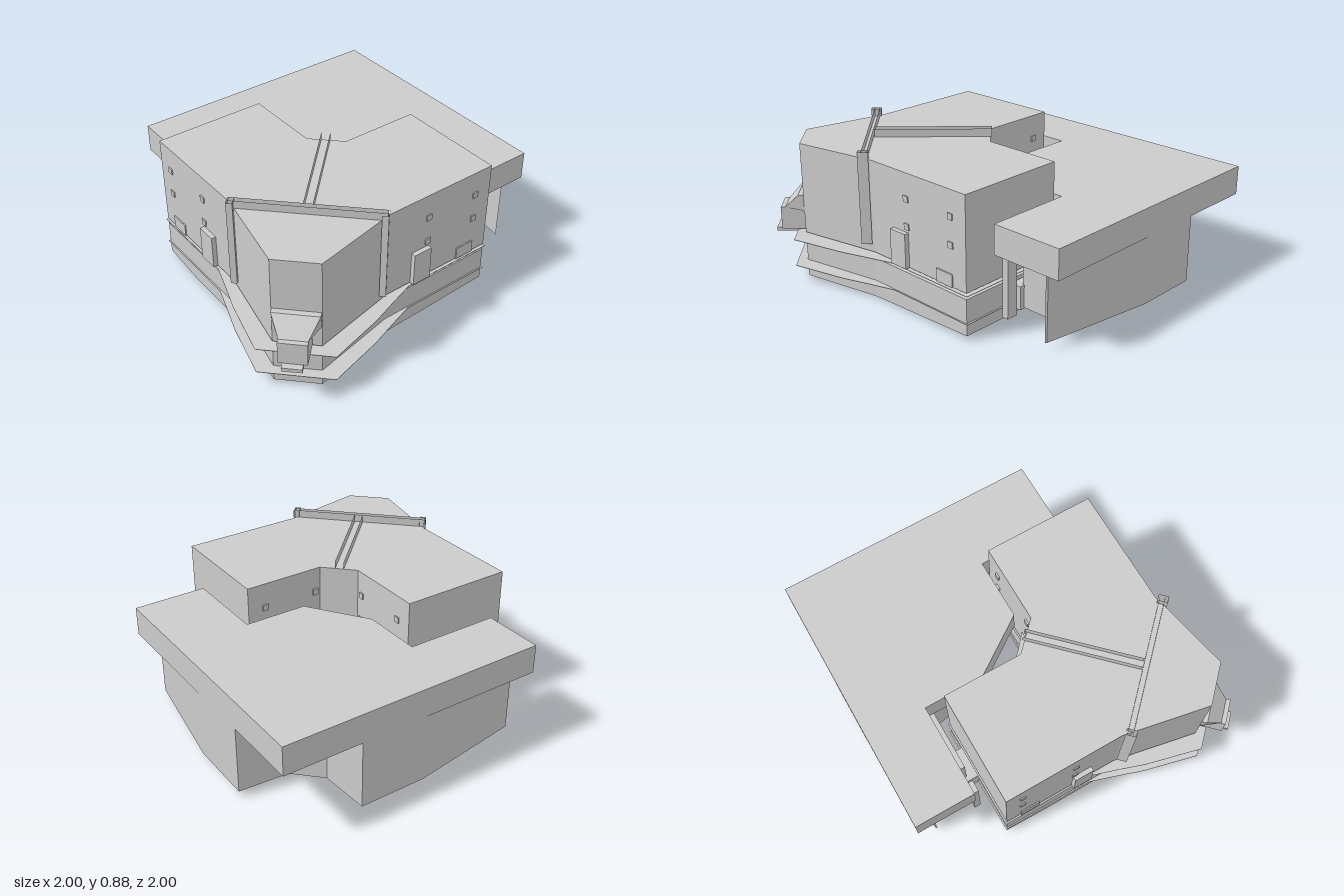
import * as THREE from 'three';
import { ConvexGeometry } from 'three/addons/geometries/ConvexGeometry.js';

const grey = new THREE.MeshStandardMaterial({ color: 0xcccccc, flatShading: true, side: THREE.DoubleSide });
const swap = ([x, z]) => [z, x];
const toVec = (pts) => pts.map(([x, z]) => new THREE.Vector2(x, z));

export function createModel() {
  const root = new THREE.Group();

  function add(name, geometry) {
    const mesh = new THREE.Mesh(geometry, grey);
    mesh.name = name;
    root.add(mesh);
    return mesh;
  }

  // Upright prism from a plan outline given as [x, z] points
  function prism(name, pts, y0, y1, holes = []) {
    const shape = new THREE.Shape(toVec(pts));
    holes.forEach((h) => shape.holes.push(new THREE.Path(toVec(h))));
    const g = new THREE.ExtrudeGeometry(shape, { depth: y1 - y0, bevelEnabled: false });
    g.rotateX(Math.PI / 2).translate(0, y1, 0);
    return add(name, g);
  }

  function box(name, x0, x1, y0, y1, z0, z1) {
    const g = new THREE.BoxGeometry(x1 - x0, y1 - y0, z1 - z0);
    return add(name, g.translate((x0 + x1) / 2, (y0 + y1) / 2, (z0 + z1) / 2));
  }

  // A box and its twin across the diagonal x = z
  function twin(name, x0, x1, y0, y1, z0, z1) {
    box(name, x0, x1, y0, y1, z0, z1);
    box(name, z0, z1, y0, y1, x0, x1);
  }

  // Upright sheet between two plan points
  function sheet(name, [xa, za], [xb, zb], y0, y1) {
    const m = add(name, new THREE.PlaneGeometry(Math.hypot(xb - xa, zb - za), y1 - y0));
    m.position.set((xa + xb) / 2, (y0 + y1) / 2, (za + zb) / 2);
    m.rotation.y = -Math.atan2(zb - za, xb - xa);
  }

  // Rectangle in plan, turned to the diagonal
  const diagRect = (cx, cz, a, b) => [[-a, -b], [a, -b], [a, b], [-a, b]]
    .map(([d, t]) => [cx + (d + t) * Math.SQRT1_2, cz + (d - t) * Math.SQRT1_2]);
  const square = (cx, cz, r) => [[cx - r, cz - r], [cx + r, cz - r], [cx + r, cz + r], [cx - r, cz + r]];

  // Main L-shaped block with a chamfered outer corner
  const plan = [
    [-0.525, 0.115], [-0.25, 0.115], [-0.04, 0.115], [0.12, -0.045], [0.12, -0.53], [0.795, -0.53],
    [0.795, 0.2], [0.897, 0.712], [0.712, 0.897], [0.2, 0.795], [-0.25, 0.795], [-0.525, 0.795],
  ];
  prism('upperBody', plan, 0.28, 0.828);
  prism('waist', [[-0.46, 0.2], [0.2, 0.2], [0.2, -0.46], [0.62, -0.46], [0.62, 0.62], [-0.46, 0.62]], 0.24, 0.285);
  prism('lowerBody', plan, 0.06, 0.244);

  // Underside plate with recesses, rising towards the wing ends
  const base = prism('underside', plan, 0, 0.06,
    [diagRect(0.29, 0.27, 0.19, 0.16), square(0.46, -0.3, 0.1), square(-0.3, 0.46, 0.1)]);
  const p = base.geometry.attributes.position;
  for (let i = 0; i < p.count; i++) {
    if (p.getY(i) > 0.01) continue;
    const a = THREE.MathUtils.clamp((-0.25 - p.getX(i)) / 0.28, 0, 1);
    const b = THREE.MathUtils.clamp((0.2 - p.getZ(i)) / 0.74, 0, 1) * (p.getX(i) > 0.1 ? 1 : 0);
    p.setY(i, 0.03 * Math.max(a, b));
  }
  base.geometry.computeVertexNormals();

  // Two thin decks that bulge round the outer corner
  const bulge = [[0.04, 0.803], [0.2, 0.855], [0.36, 0.91], [0.695, 0.995]];
  const deck = [
    [-0.535, 0.803], ...bulge, ...bulge.map(swap).reverse(),
    [0.803, -0.54], [0.112, -0.54], [0.112, -0.048], [-0.043, 0.107], [-0.535, 0.107],
  ];
  for (const y of [0.1, 0.264]) prism('deck', deck, y, y + 0.003);

  // Roof gutters: two fins on the diagonal, a cross channel and open downpipes
  for (const s of [-0.018, 0.018]) {
    sheet('roofFin', [0.03 + s, 0.03 - s], [0.51 + s, 0.51 - s], 0.828, 0.875);
    sheet('crossChannel', [0.23 + s * 0.6, 0.82 + s * 0.6], [0.82 + s * 0.6, 0.23 + s * 0.6], 0.828, 0.875);
  }
  for (const c of [[0.243, 0.815], [0.815, 0.243]]) {
    const r = diagRect(...c, 0.03, 0.018);
    for (let i = 0; i < 3; i++) sheet('downpipe', r[i], r[i + 1], 0.33, 0.872);
  }

  // Doors, vents and small windows
  twin('door', -0.09, 0.03, 0.28, 0.485, 0.79, 0.823);
  twin('vent', -0.43, -0.31, 0.28, 0.355, 0.785, 0.802);
  for (const u of [-0.42, -0.08]) {
    for (const y of [0.52, 0.68]) {
      twin('window', u - 0.018, u + 0.018, y - 0.018, y + 0.018, 0.785, 0.802);
      twin('innerWindow', u - 0.018, u + 0.018, y - 0.018, y + 0.018, 0.108, 0.125);
    }
  }

  // Corner nose: sloped hood over a box on a thin foot (d = outwards, t = sideways)
  const nose = (pts) => new ConvexGeometry(pts.flatMap(([d, t, y]) => [t, -t]
    .map((s) => new THREE.Vector3((d + s) * Math.SQRT1_2, y, (d - s) * Math.SQRT1_2))));
  add('noseHood', nose([[1.13, 0.128, 0.41], [1.13, 0.128, 0.51], [1.17, 0.128, 0.51], [1.26, 0.075, 0.415], [1.13, 0.075, 0.4]]));
  const c = 1.2 * Math.SQRT1_2;
  prism('noseBox', diagRect(c, c, 0.085, 0.078), 0.28, 0.417);
  const e = 1.25 * Math.SQRT1_2;
  prism('noseFoot', diagRect(e, e, 0.07, 0.055), 0.257, 0.28);

  // Rear building: slab roof
  prism('slabRoof', [
    [-1, -1], [0.62, -1], [0.62, -0.56], [0.09, -0.56], [0.09, -0.18], [-0.26, 0.06], [-0.63, 0.06], [-0.63, 0.63], [-1, 0.63],
  ], 0.45, 0.625);

  // Rear building: faceted thin outer wall, with a core that stops short of the open wing ends
  const half = [[0.57, -0.89], [-0.13, -0.998], [-0.53, -0.998], [-0.55, -0.7]];
  const outer = [...half, ...half.map(swap).reverse()];
  const inner = outer.map(([x, z]) => [x + 0.008, z + 0.008]);
  prism('rearWall', [...outer, ...inner.slice().reverse()], 0.04, 0.455);
  const coreHalf = [[0.43, -0.59], [0.43, -0.9], [-0.13, -0.988], [-0.52, -0.988], [-0.54, -0.69]];
  prism('rearCore', [
    ...coreHalf, ...coreHalf.map(swap).reverse(),
    [-0.59, 0.03], [-0.43, 0], [-0.27, -0.27], [0, -0.43], [0.03, -0.59],
  ], 0.085, 0.455);
  twin('endPost', 0.52, 0.59, 0.085, 0.455, -0.63, -0.59);

  // Links between the two buildings
  twin('linkSide', 0.26, 0.46, 0.08, 0.22, -0.6, -0.52);
  twin('linkInner', -0.41, -0.28, 0.08, 0.22, -0.15, 0.12);
  prism('cornerFillet', [
    [-0.14, 0.11], [-0.05, 0.04], [0.04, -0.05], [0.12, -0.14], [0.12, -0.04], [-0.04, 0.115],
  ], 0.1, 0.4);

  return root;
}
